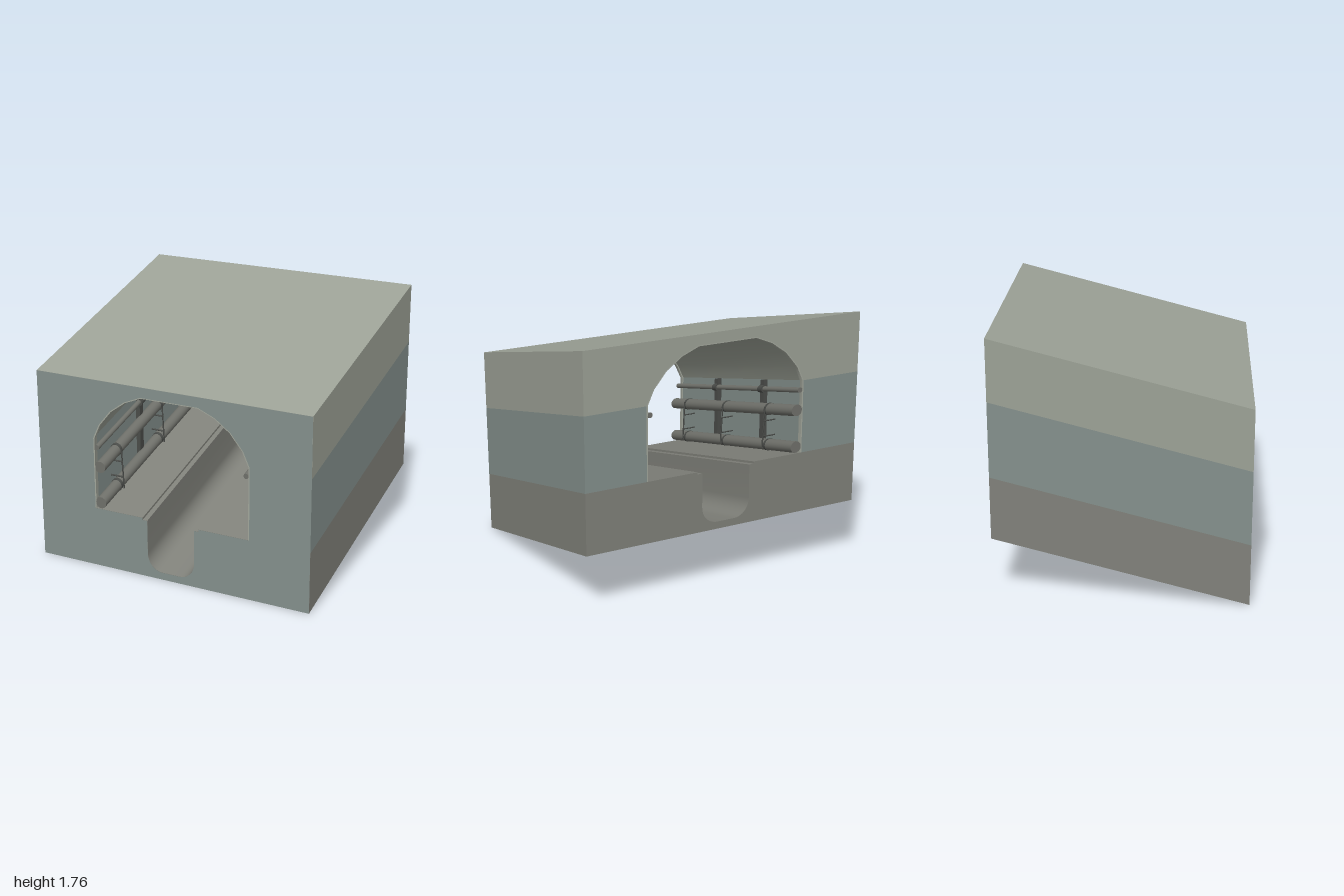
import * as THREE from 'three';
import { toCreasedNormals } from 'three/addons/utils/BufferGeometryUtils.js';

const HALF = 0.83, SLOPE = 0.26;
const FLOOR = 0.42, SPRING = 0.92, ROOF = 1.33, WALL = 0.575;

// The whole passage climbs towards the back: y grows as z falls
const climb = new THREE.Matrix4().set(
  1, 0, 0, 0,
  0, 1, -SLOPE, SLOPE * HALF,
  0, 0, 1, 0,
  0, 0, 0, 1);

const mat = (color) => new THREE.MeshStandardMaterial({ color });
const lower = mat(0x80817a), middle = mat(0x84908c), upper = mat(0x9ca196);
const metal = mat(0x6f706a), dark = mat(0x4a4c49), liner = mat(0xa3a79c);

// Right half of the vault, from the springing to the flat crown
const vault = [[WALL, SPRING], [0.53, 1.02], [0.44, 1.13], [0.33, 1.21], [0.21, 1.26]];
const mirror = (pts) => pts.map(([x, y]) => [-x, y]).reverse();
const arch = [...vault, ...mirror(vault)];

// Drain channel from its right rim, around the rounded bottom, to the left rim
const drain = [[0.21, FLOOR], [0.21, 0.405], [0.175, 0.405]];
for (let i = 0; i <= 8; i++) {
  const a = (i / 8) * Math.PI / 2;
  drain.push([0.065 + 0.11 * Math.cos(a), 0.17 - 0.12 * Math.sin(a)]);
}
const channel = [...drain, ...mirror(drain)];

const toVectors = (pts) => pts.map(([x, y]) => new THREE.Vector2(x, y));
const shapeOf = (pts) => new THREE.Shape(toVectors(pts));

function createModel() {
  const group = new THREE.Group();

  function add(name, geometry, material, parent = group) {
    geometry.applyMatrix4(climb);
    const mesh = new THREE.Mesh(geometry, material);
    mesh.name = name;
    parent.add(mesh);
    return mesh;
  }
  function extrude(name, shape, material, z0 = -HALF, depth = 2 * HALF) {
    const g = new THREE.ExtrudeGeometry(shape, { depth, bevelEnabled: false });
    g.translate(0, 0, z0);
    return add(name, toCreasedNormals(g, 0.5), material);
  }
  function box(name, w, h, d, x, y, z, material, parent) {
    return add(name, new THREE.BoxGeometry(w, h, d).translate(x, y, z), material, parent);
  }
  function pipe(name, r, length, x, y, z, material, parent) {
    const g = new THREE.CylinderGeometry(r, r, length, 20).rotateX(Math.PI / 2).translate(x, y, z);
    return add(name, g, material, parent);
  }
  function rod(name, from, to, r, parent) {
    const path = new THREE.LineCurve3(new THREE.Vector3(...from), new THREE.Vector3(...to));
    return add(name, new THREE.TubeGeometry(path, 1, r, 6), dark, parent);
  }

  // Ground layers around the tunnel
  extrude('lowerLayer', shapeOf([[-1, 0], [1, 0], [1, FLOOR], ...channel, [-1, FLOOR]]), lower);
  for (const s of [1, -1]) {
    const xs = [s * WALL, s];
    extrude(s > 0 ? 'leftWallLayer' : 'rightWallLayer',
      shapeOf([[xs[0], FLOOR], [xs[1], FLOOR], [xs[1], SPRING], [xs[0], SPRING]]), middle);
  }
  extrude('upperLayer', shapeOf([[-1, SPRING], ...arch.slice().reverse(), [1, SPRING], [1, ROOF], [-1, ROOF]]), upper);

  // Plain facing over the front end
  const facing = shapeOf([[-1, 0], [1, 0], [1, ROOF], [-1, ROOF]]);
  facing.holes.push(new THREE.Path(toVectors([...arch, [-WALL, FLOOR], ...channel.slice().reverse(), [WALL, FLOOR]])));
  add('frontFacing', new THREE.ShapeGeometry(facing).translate(0, 0, HALF + 0.002), middle);

  // Thin rims inside both openings
  const inner = arch.map(([x, y]) => [x * 0.985, SPRING + (y - SPRING) * 0.98]);
  const rim = shapeOf([[WALL, FLOOR], ...arch, [-WALL, FLOOR],
    [-WALL * 0.985, FLOOR], ...inner.slice().reverse(), [WALL * 0.985, FLOOR]]);
  extrude('frontRim', rim, liner, HALF - 0.03, 0.03);
  extrude('backRim', rim, liner, -HALF, 0.03);

  // Large pipes along the right wall
  for (const [name, y] of [['lowerPipe', 0.465], ['upperPipe', 0.72]]) {
    pipe(name, 0.04, 2 * HALF, -0.53, y, 0, metal);
  }

  // Small pipes, wall posts and clamps on both walls
  for (const s of [1, -1]) {
    const side = new THREE.Group();
    side.name = s > 0 ? 'leftWallFittings' : 'rightWallFittings';
    group.add(side);
    pipe('smallPipe', 0.018, 2 * HALF, s * 0.55, 0.857, 0, metal, side);
    for (const z of [-0.37, 0.25]) {
      box('wallPost', 0.03, SPRING - FLOOR, 0.045, s * 0.56, (FLOOR + SPRING) / 2, z, dark, side);
      pipe('pipeClamp', 0.026, 0.05, s * 0.548, 0.857, z, dark, side);
    }
  }

  // Hangers that tie the large pipes together
  for (const z of [0.62, 0.06, -0.5]) {
    const hanger = new THREE.Group();
    hanger.name = 'pipeHanger';
    group.add(hanger);
    rod('tieRod', [-0.49, 0.74, z], [-0.475, 0.45, z], 0.005, hanger);
    for (const y of [0.53, 0.64]) rod('crossBar', [-0.575, y, z], [-0.48, y, z], 0.005, hanger);
    for (const y of [0.465, 0.72]) pipe('pipeBand', 0.043, 0.02, -0.53, y, z, dark, hanger);
  }

  // Valve with a handwheel on the left small pipe
  const valve = new THREE.Group();
  valve.name = 'valve';
  group.add(valve);
  rod('valveStem', [0.55, 0.857, 0.39], [0.515, 0.857, 0.39], 0.006, valve);
  add('handwheel', new THREE.TorusGeometry(0.02, 0.004, 6, 16).rotateY(Math.PI / 2).translate(0.517, 0.857, 0.39), dark, valve);

  return group;
}

export { createModel };
